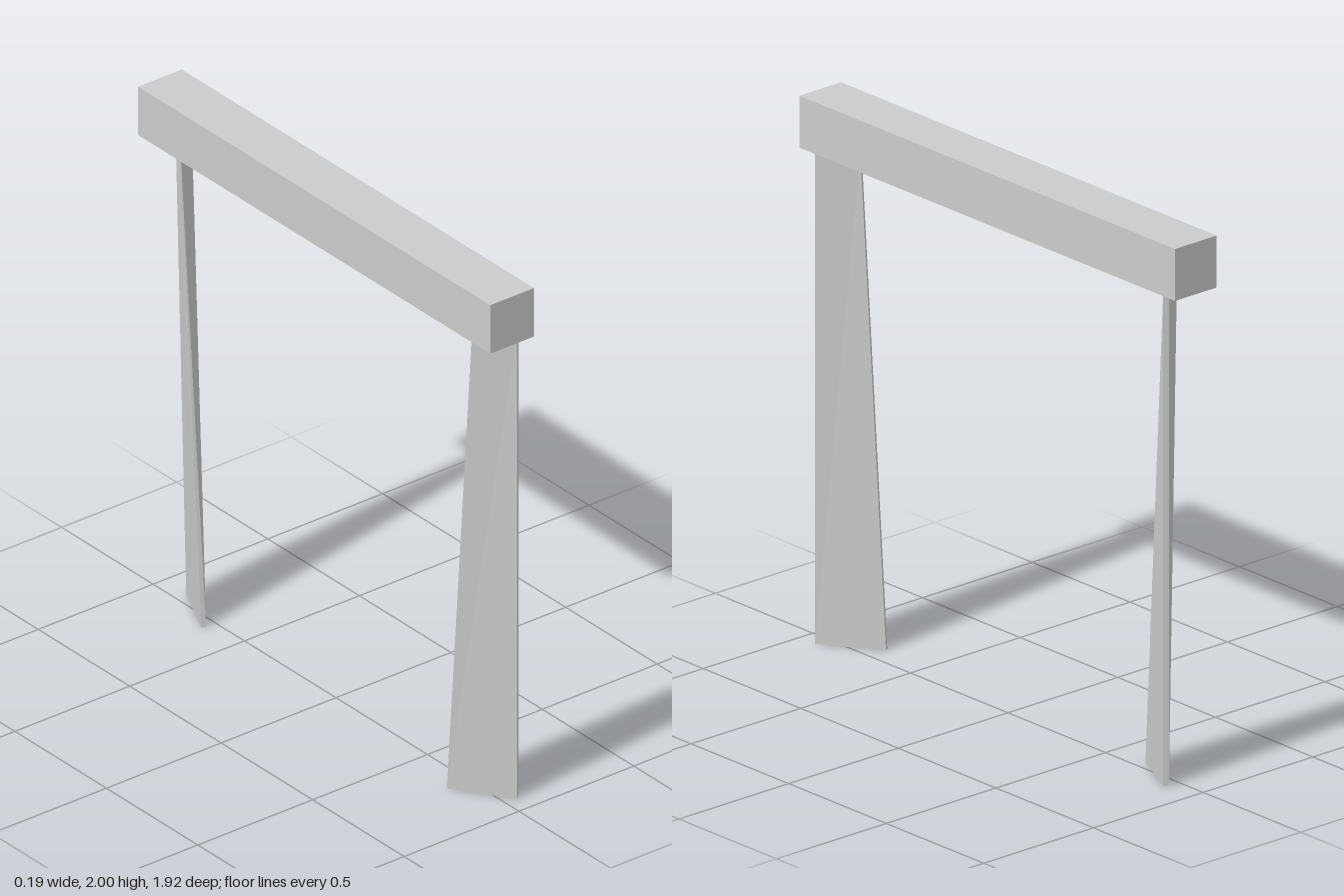
import * as THREE from 'three';

const BEAM_BOTTOM = 1.81;
const material = new THREE.MeshStandardMaterial({ color: 0xcccccc, flatShading: true });

// Tapered plate lofted between two four-corner rings of [x, z],
// counter-clockwise seen from above
function taperedPlate(name, bottomRing, topRing) {
  const bottom = bottomRing.map(([x, z]) => [x, 0, z]);
  const top = topRing.map(([x, z]) => [x, BEAM_BOTTOM, z]);
  const positions = [];
  const quad = (a, b, c, d) => positions.push(...a, ...b, ...c, ...a, ...c, ...d);
  for (let i = 0; i < 4; i++) {
    const j = (i + 1) % 4;
    quad(bottom[i], bottom[j], top[j], top[i]);
  }
  quad(...top);
  quad(...[...bottom].reverse());

  const geometry = new THREE.BufferGeometry();
  geometry.setAttribute('position', new THREE.Float32BufferAttribute(positions, 3));
  geometry.computeVertexNormals();
  const mesh = new THREE.Mesh(geometry, material);
  mesh.name = name;
  return mesh;
}

export function createModel() {
  const group = new THREE.Group();
  group.name = 'beamOnLegs';

  // Square beam across the top
  const beam = new THREE.Mesh(new THREE.BoxGeometry(0.19, 2 - BEAM_BOTTOM, 1.925), material);
  beam.name = 'beam';
  beam.position.y = (2 + BEAM_BOTTOM) / 2;
  group.add(beam);

  // Thin diagonal legs: upright outer edge, inner edge flaring towards the floor
  const frontOuter = [0.064, 0.917];
  const frontOuterBack = [0.049, 0.927];
  group.add(taperedPlate('frontLeg',
    [frontOuter, [-0.08, 0.715], [-0.095, 0.725], frontOuterBack],
    [frontOuter, [-0.038, 0.8], [-0.053, 0.81], frontOuterBack]));

  const backOuter = [0.06, -0.863];
  const backOuterBack = [0.044, -0.874];
  group.add(taperedPlate('backLeg',
    [backOuter, backOuterBack, [-0.057, -0.665], [-0.042, -0.657]],
    [backOuter, backOuterBack, [-0.064, -0.794], [-0.053, -0.783]]));

  return group;
}
